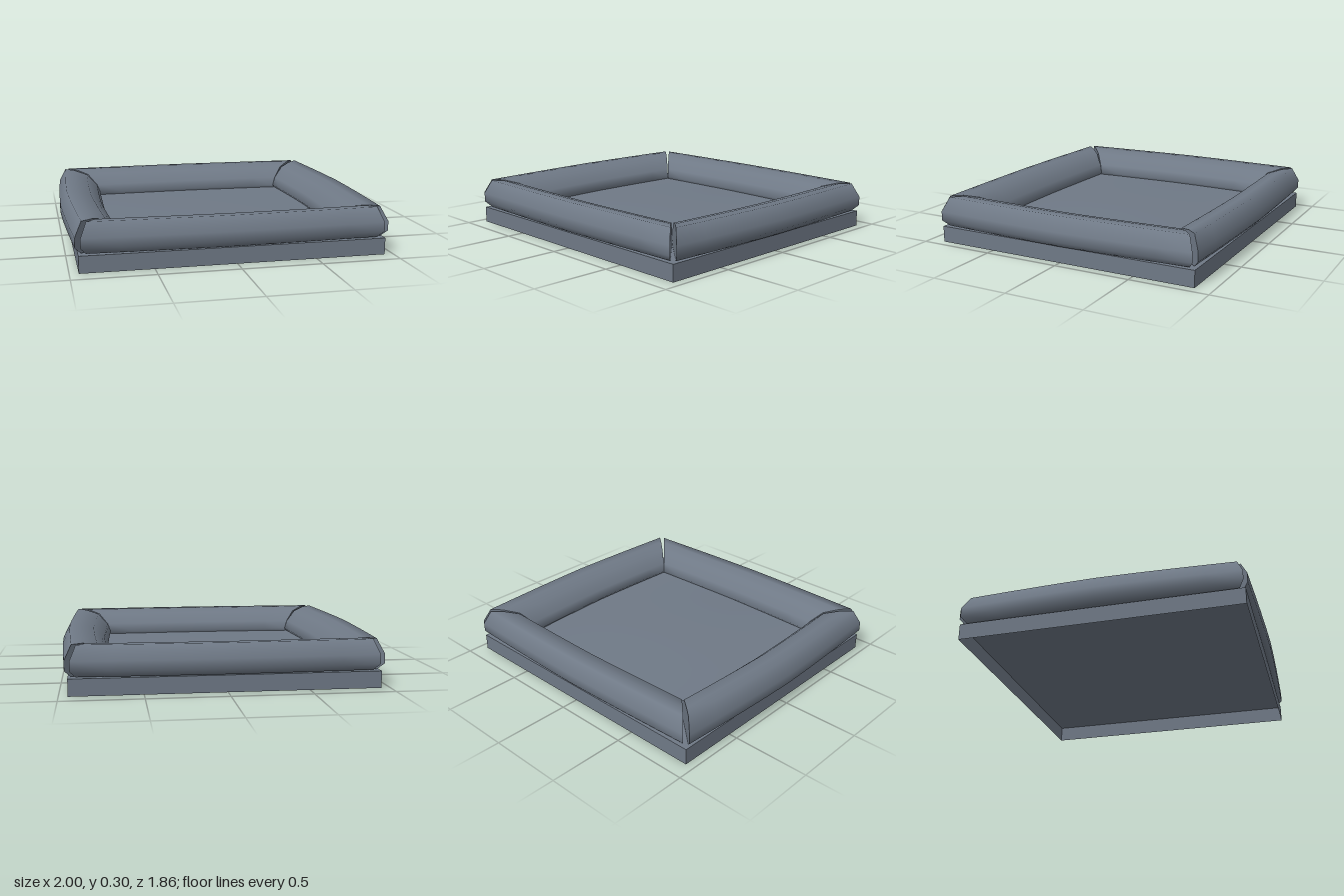
import * as THREE from 'three';

const fabric = new THREE.MeshStandardMaterial({ color: 0x6f7986, side: THREE.DoubleSide });
fabric.name = 'slate fabric';

// Bolster cross-section: [0 inner .. 1 outer, height], from bottom outer edge over the top to the inside
const SECTION = [
  [0.87, 0.11], [1, 0.15], [1, 0.21], [0.85, 0.3], [0.62, 0.298],
  [0.32, 0.275], [0.08, 0.205], [0, 0.15], [0.12, 0.11],
];

function part(geometry, name) {
  const mesh = new THREE.Mesh(geometry, fabric);
  mesh.name = name;
  return mesh;
}

// Mitred roll lying along x that bows outward toward +z
function bolsterGeometry({ inner, depth, halfLength, flare, bow }) {
  const steps = 8, n = SECTION.length;
  const positions = [], index = [];
  const addRing = (t) => {
    const swell = 1 - Math.abs(t) ** 1.4;
    for (const [u, y] of SECTION) {
      const z = inner + depth * u + swell * (bow[0] + (bow[1] - bow[0]) * u);
      positions.push(t * (halfLength + flare * u), y, z);
    }
  };
  for (let i = 0; i <= steps; i++) addRing(-1 + (2 * i) / steps);
  for (let i = 0; i < steps; i++) {
    for (let j = 0; j < n; j++) {
      const k = (j + 1) % n, a = i * n, b = a + n;
      index.push(a + j, b + j, a + k, b + j, b + k, a + k);
    }
  }
  // End caps with their own vertices, so the seams stay sharp
  for (const end of [-1, 1]) {
    const first = positions.length / 3;
    addRing(end);
    for (let j = 1; j < n - 1; j++) {
      if (end > 0) index.push(first, first + j + 1, first + j);
      else index.push(first, first + j, first + j + 1);
    }
  }
  const geometry = new THREE.BufferGeometry();
  geometry.setAttribute('position', new THREE.Float32BufferAttribute(positions, 3));
  geometry.setIndex(index);
  geometry.computeVertexNormals();
  return geometry;
}

export function createModel() {
  const model = new THREE.Group();
  model.name = 'cushionedBed';

  // Base tray: a shallow box left open underneath
  const height = 0.105;
  const box = new THREE.BoxGeometry(1.89, height, 1.78);
  const faces = Array.from(box.index.array);
  faces.splice(18, 6); // remove the bottom face
  box.setIndex(faces);
  box.clearGroups();
  const base = part(box, 'base');
  base.position.y = height / 2;
  model.add(base);

  // Slightly domed sleeping pad
  const pad = new THREE.PlaneGeometry(1.46, 1.38, 12, 12).rotateX(-Math.PI / 2);
  const p = pad.attributes.position;
  for (let i = 0; i < p.count; i++) {
    const dome = Math.cos((p.getX(i) / 1.46) * Math.PI) * Math.cos((p.getZ(i) / 1.38) * Math.PI);
    p.setY(i, 0.13 + 0.015 * dome);
  }
  pad.computeVertexNormals();
  model.add(part(pad, 'pad'));

  // Four bolsters around the pad
  const long = bolsterGeometry({ inner: 0.635, depth: 0.267, halfLength: 0.675, flare: 0.257, bow: [0.015, 0.026] });
  const side = bolsterGeometry({ inner: 0.675, depth: 0.288, halfLength: 0.635, flare: 0.247, bow: [0.024, 0.037] });
  ['frontBolster', 'leftBolster', 'backBolster', 'rightBolster'].forEach((name, i) => {
    const bolster = part(i % 2 ? side : long, name);
    bolster.rotation.y = (i * Math.PI) / 2;
    model.add(bolster);
  });

  return model;
}
